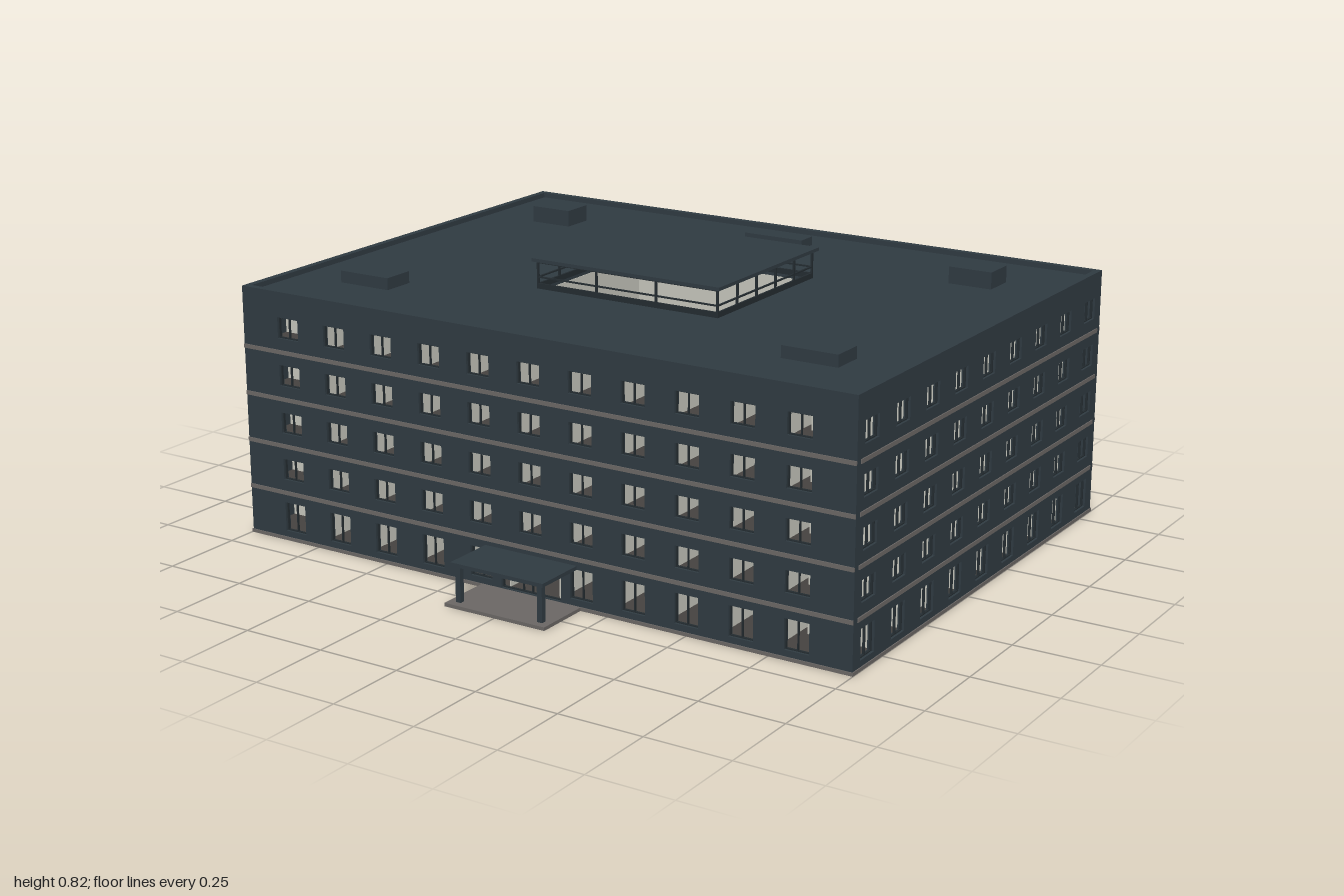
import * as THREE from 'three';
import { mergeGeometries } from 'three/addons/utils/BufferGeometryUtils.js';

const mat = (name, color, side = THREE.FrontSide) => {
  const m = new THREE.MeshStandardMaterial({ color, side });
  m.name = name;
  return m;
};

export function createModel() {
  const slate = mat('dark slate', 0x2f3a41);
  const concrete = mat('grey concrete', 0x6a6664);
  const plaster = mat('pale plaster', 0xc4c4ba, THREE.DoubleSide);
  const flooring = mat('dark floor', 0x45423f);
  const trim = mat('dark frame', 0x232b30);

  const model = new THREE.Group();
  model.name = 'officeBlock';

  // Box geometry from its bounds
  const block = (x0, x1, y0, y1, z0, z1) =>
    new THREE.BoxGeometry(x1 - x0, y1 - y0, z1 - z0)
      .translate((x0 + x1) / 2, (y0 + y1) / 2, (z0 + z1) / 2);
  const add = (name, geos, material, parent = model) => {
    const mesh = new THREE.Mesh(Array.isArray(geos) ? mergeGeometries(geos) : geos, material);
    mesh.name = name;
    parent.add(mesh);
    return mesh;
  };
  const rectPath = (P, x0, x1, y0, y1) => {
    const p = new P();
    p.moveTo(x0, y0);
    p.lineTo(x1, y0);
    p.lineTo(x1, y1);
    p.lineTo(x0, y1);
    p.closePath();
    return p;
  };

  const X = 0.997, ZF = 0.657, ZB = -0.832, ZC = (ZF + ZB) / 2, TOP = 0.745, T = 0.02;
  const BAY = 1 / 6, DEPTH = 0.22;
  const LEVELS = [0.01, 0.145, 0.287, 0.428, 0.568];   // storey floors
  const SILLS = [0.028, 0.185, 0.325, 0.467, 0.608];
  const HEADS = [0.115, 0.247, 0.387, 0.529, 0.67];
  const ATRIUM = { x: 0.3, z0: -0.345, z1: 0.18 };

  // One facade: pierced wall, window frames and string courses; local z points outward
  function facade(name, half, count, position, turn, doors) {
    const g = new THREE.Group();
    g.name = name;
    const shape = rectPath(THREE.Shape, -half, half, 0.008, TOP);
    const frames = [];
    const opening = (x0, x1, y0, y1, bars) => {
      shape.holes.push(rectPath(THREE.Path, x0, x1, y0, y1));
      const b = 0.003, z0 = -0.014, z1 = -0.007;
      for (const x of [x0 + b / 2, x1 - b / 2, ...bars])
        frames.push(block(x - b / 2, x + b / 2, y0, y1, z0, z1));
      for (const y of [y0 + b / 2, y1 - b / 2])
        frames.push(block(x0, x1, y - b / 2, y + b / 2, z0, z1));
    };
    const reach = (count - 1) / 2;
    SILLS.forEach((sill, floor) => {
      for (let k = -reach; k <= reach; k++) {
        const x = k * BAY;
        if (floor === 0 && doors.some(d => Math.abs(d.x - x) < d.w / 2)) continue;
        opening(x - 0.037, x + 0.037, sill, HEADS[floor], [x]);
      }
    });
    for (const d of doors)
      opening(d.x - d.w / 2, d.x + d.w / 2, 0.012, d.top, d.bars);
    add('wall', new THREE.ExtrudeGeometry(shape, { depth: T, bevelEnabled: false })
      .translate(0, 0, -T), slate, g);
    add('windowFrames', frames, trim, g);
    add('stringCourses', LEVELS.slice(1).map(y =>
      block(-half, half, y - 0.006, y + 0.006, -0.001, 0.003)), concrete, g);
    g.position.set(...position);
    g.rotation.y = turn;
    model.add(g);
    return g;
  }

  const front = facade('frontFacade', X, 11, [0, 0, ZF], 0,
    [{ x: 0, w: 0.2, top: 0.108, bars: [-0.031, 0, 0.031] }]);
  add('entranceDoorHead', block(-0.031, 0.031, 0.087, 0.09, -0.014, -0.007), trim, front);
  facade('backFacade', X, 11, [0, 0, ZB], Math.PI,
    [{ x: -0.25, w: 0.05, top: 0.1, bars: [] }, { x: 0.25, w: 0.05, top: 0.1, bars: [] }]);
  const sideHalf = (ZF - ZB) / 2 - T;
  facade('leftFacade', sideHalf, 9, [X, 0, ZC], Math.PI / 2, []);
  facade('rightFacade', sideHalf, 9, [-X, 0, ZC], -Math.PI / 2, []);

  // Ground slab and entrance platform
  add('groundSlab', block(-1, 1, 0, 0.01, -0.835, 0.66), concrete);
  add('entrancePlatform', block(-0.165, 0.165, 0, 0.01, 0.66, 0.83), concrete);

  // Floor and roof slabs around the open atrium
  const slab = (y, h) => {
    const s = rectPath(THREE.Shape, -X + T, X - T, -ZF + T, -ZB - T);
    s.holes.push(rectPath(THREE.Path, -ATRIUM.x, ATRIUM.x, -ATRIUM.z1, -ATRIUM.z0));
    return new THREE.ExtrudeGeometry(s, { depth: h, bevelEnabled: false })
      .rotateX(-Math.PI / 2).translate(0, y, 0);
  };
  add('floorSlabs', LEVELS.slice(1).map(y => slab(y - 0.006, 0.012)), flooring);
  add('groundFloor', block(-X + T, X - T, 0.01, 0.012, ZB + T, ZF - T), flooring);
  add('roof', slab(0.718, 0.012), slate);

  // Corridor walls, room partitions and atrium lining
  const rooms = [];
  const ix = X - DEPTH, iz0 = ZB + DEPTH, iz1 = ZF - DEPTH, w = 0.004, y0 = 0.012, y1 = 0.72;
  for (const [x, z0, z1] of [[ix, iz0, iz1], [ATRIUM.x, ATRIUM.z0, ATRIUM.z1]]) {
    for (const z of [z0, z1]) rooms.push(block(-x, x, y0, y1, z - w / 2, z + w / 2));
    for (const s of [-x, x]) rooms.push(block(s - w / 2, s + w / 2, y0, y1, z0, z1));
  }
  for (let k = -4.5; k <= 4.5; k++) {
    const x = k * BAY;
    rooms.push(block(x - w / 2, x + w / 2, y0, y1, iz1, ZF - T));
    rooms.push(block(x - w / 2, x + w / 2, y0, y1, ZB + T, iz0));
  }
  for (let k = -3.5; k <= 3.5; k++) {
    const z = ZC + k * BAY;
    rooms.push(block(ix, X - T, y0, y1, z - w / 2, z + w / 2));
    rooms.push(block(-X + T, -ix, y0, y1, z - w / 2, z + w / 2));
  }
  add('interiorWalls', rooms, plaster);

  // Roof lantern: open post-and-rail frame under a flat lid
  const posts = [], p = 0.003;
  const A = ATRIUM;
  for (const z of [A.z0, A.z1])
    for (const x of [-0.3, -0.1, 0.1, 0.3])
      posts.push(block(x - p, x + p, 0.73, 0.812, z - p, z + p));
  for (const x of [-A.x, A.x])
    for (let i = 1; i < 5; i++) {
      const z = A.z0 + (A.z1 - A.z0) * i / 5;
      posts.push(block(x - p, x + p, 0.73, 0.812, z - p, z + p));
    }
  for (const [y, h] of [[0.738, 0.008], [0.764, 0.002], [0.808, 0.003]]) {
    for (const z of [A.z0, A.z1]) posts.push(block(-A.x, A.x, y - h, y + h, z - p, z + p));
    for (const x of [-A.x, A.x]) posts.push(block(x - p, x + p, y - h, y + h, A.z0, A.z1));
  }
  add('lanternFrame', posts, trim);
  add('lanternRoof', block(-0.313, 0.313, 0.81, 0.82, -0.363, 0.193), slate);

  // Rooftop plant housings: x, z, width, depth, top
  for (const [x, z, bw, bd, top] of [
    [-0.735, -0.555, 0.135, 0.1, 0.78], [0.73, -0.555, 0.135, 0.1, 0.78],
    [-0.735, 0.38, 0.17, 0.1, 0.765], [0.73, 0.38, 0.17, 0.1, 0.765],
    [0, -0.67, 0.2, 0.065, 0.757]])
    add('roofHousing', block(x - bw / 2, x + bw / 2, 0.728, top, z - bd / 2, z + bd / 2), slate);

  // Entrance canopy on two columns
  add('canopyRoof', block(-0.152, 0.152, 0.115, 0.126, ZF, 0.817), slate);
  add('canopyColumns', [-0.135, 0.135].map(x =>
    block(x - 0.008, x + 0.008, 0.01, 0.116, 0.792, 0.808)), slate);

  return model;
}
